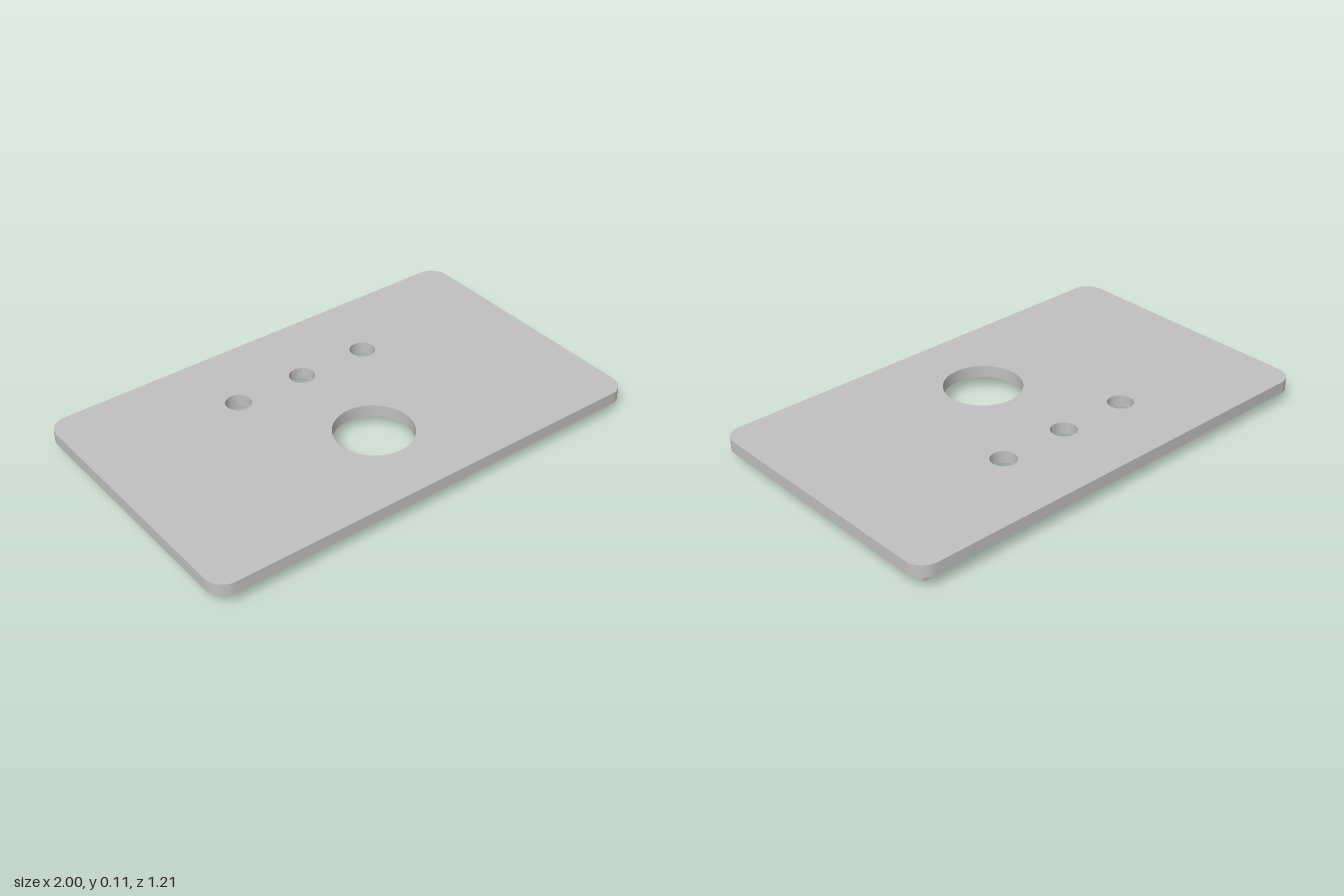
import * as THREE from 'three';
import { toCreasedNormals } from 'three/addons/utils/BufferGeometryUtils.js';

// Closed rectangle, centred, with optional rounded corners
function outline(Type, w, d, r = 0) {
  const x = w / 2, y = d / 2, s = new Type();
  if (r === 0) {
    s.moveTo(-x, -y).lineTo(x, -y).lineTo(x, y).lineTo(-x, y);
  } else {
    const q = Math.PI / 2;
    s.moveTo(-x + r, -y);
    s.absarc(x - r, -y + r, r, -q, 0);
    s.absarc(x - r, y - r, r, 0, q);
    s.absarc(-x + r, y - r, r, q, 2 * q);
    s.absarc(-x + r, -y + r, r, 2 * q, 3 * q);
  }
  s.closePath();
  return s;
}

// Extrudes a plan shape upward from height y
function slab(name, shape, y, height, material) {
  const extruded = new THREE.ExtrudeGeometry(shape, { depth: height, bevelEnabled: false, curveSegments: 24 });
  extruded.rotateX(-Math.PI / 2);
  const mesh = new THREE.Mesh(toCreasedNormals(extruded, 0.5), material);
  mesh.position.y = y;
  mesh.name = name;
  return mesh;
}

export function createModel() {
  const group = new THREE.Group();
  group.name = 'coverPlate';
  const grey = new THREE.MeshStandardMaterial({ color: 0xc0c0c0 });
  grey.name = 'grey';

  const H = 0.053; // height of both the plate and the rim

  // Top plate with one large hole and a row of three small ones
  const plate = outline(THREE.Shape, 2, 1.207, 0.08);
  const holes = [[0, 0.208, 0.165], [-0.316, -0.267, 0.054], [0, -0.267, 0.054], [0.316, -0.267, 0.054]];
  for (const [x, z, r] of holes) {
    plate.holes.push(new THREE.Path().absarc(x, -z, r, 0, Math.PI * 2, true));
  }
  group.add(slab('topPlate', plate, H, H, grey));

  // Square-cornered locating rim underneath
  const wall = 0.04;
  const rim = outline(THREE.Shape, 1.88, 1.09);
  rim.holes.push(outline(THREE.Path, 1.88 - 2 * wall, 1.09 - 2 * wall));
  group.add(slab('lowerRim', rim, 0, H, grey));

  return group;
}
